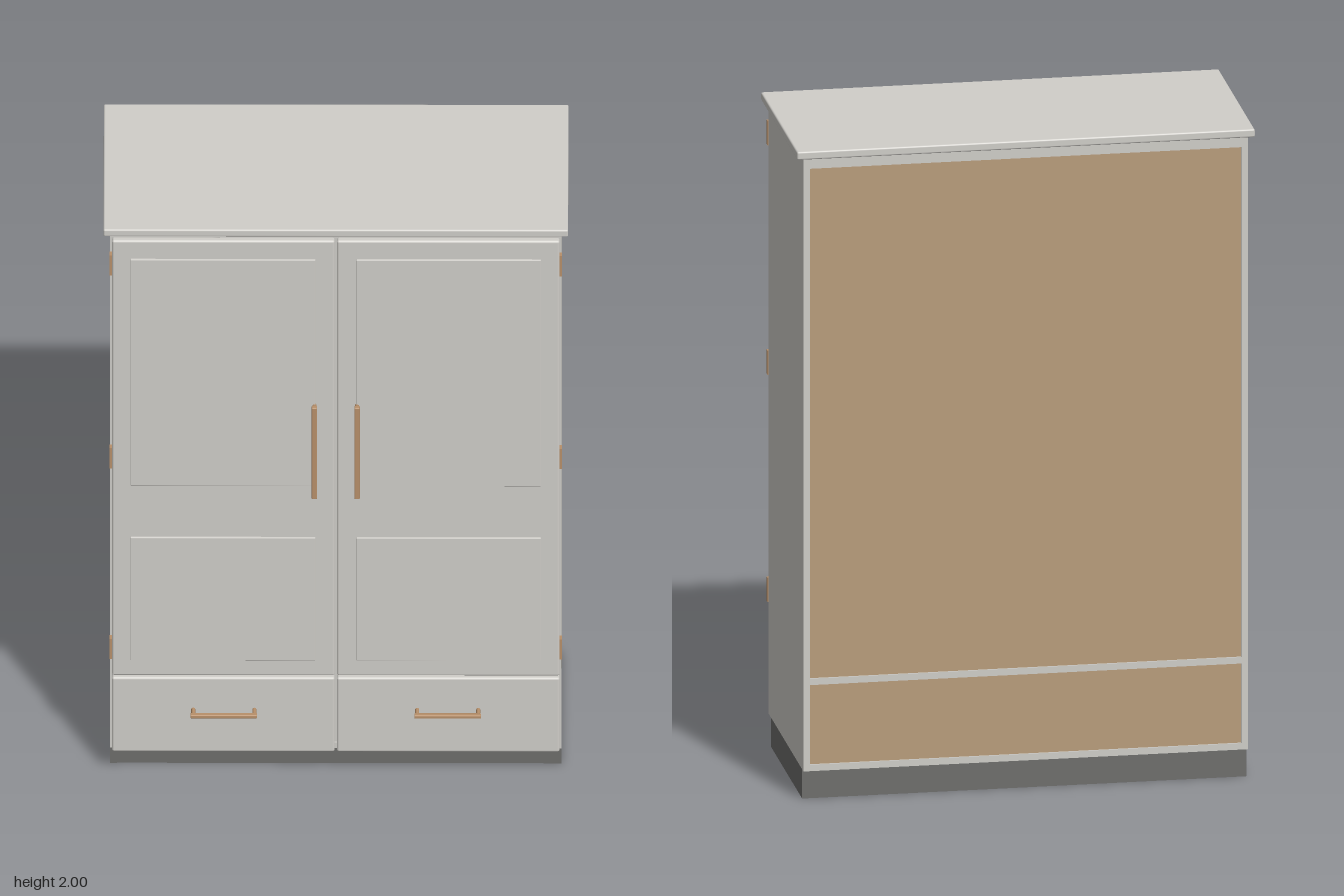
import * as THREE from 'three';
import { RoundedBoxGeometry } from 'three/addons/geometries/RoundedBoxGeometry.js';

const material = (name, color) => {
  const m = new THREE.MeshStandardMaterial({ color });
  m.name = name;
  return m;
};

export function createModel() {
  const paint = material('warm grey paint', 0xd0cec9);
  const dark = material('dark plinth grey', 0x6e6e6c);
  const wood = material('plain wood', 0xb99d7b);
  const brass = material('brushed brass', 0xb8906a);

  const cabinet = new THREE.Group();
  cabinet.name = 'cabinet';

  const add = (name, geometry, mat, parent = cabinet) => {
    const mesh = new THREE.Mesh(geometry, mat);
    mesh.name = name;
    parent.add(mesh);
    return mesh;
  };
  // Box given by its limits on each axis; a radius softens the edges
  const box = (name, [x0, x1], [y0, y1], [z0, z1], mat, radius = 0, parent = cabinet) => {
    const size = [x1 - x0, y1 - y0, z1 - z0];
    const geometry = radius
      ? new RoundedBoxGeometry(...size, 2, radius)
      : new THREE.BoxGeometry(...size);
    const mesh = add(name, geometry, mat, parent);
    mesh.position.set((x0 + x1) / 2, (y0 + y1) / 2, (z0 + z1) / 2);
    return mesh;
  };

  // Carcass boards
  const inner = [-0.645, 0.645];
  box('topBoard', [-0.665, 0.665], [1.945, 1.975], [-0.335, 0.27], paint);
  box('bottomBoard', inner, [0.09, 0.11], [-0.335, 0.27], paint);
  box('middleShelf', inner, [0.355, 0.375], [-0.335, 0.265], paint);
  box('centreDivider', [-0.01, 0.01], [0.11, 1.945], [-0.32, 0.265], paint);
  box('lowerBackPanel', inner, [0.11, 0.355], [-0.33, -0.32], wood);
  box('upperBackPanel', inner, [0.375, 1.945], [-0.33, -0.32], wood);
  box('topSlab', [-0.685, 0.685], [1.975, 2], [-0.342, 0.283], paint, 0.005);

  // Open plinth frame
  box('plinthFront', inner, [0, 0.09], [0.203, 0.223], dark);
  box('plinthBack', inner, [0, 0.09], [-0.312, -0.292], dark);

  // Bar handle with two standoffs, centred on its own origin
  const handle = (name, length, spacing, width) => {
    const group = new THREE.Group();
    group.name = name;
    const h = width / 2;
    box('bar', [-h, h], [-length / 2, length / 2], [0.326, 0.341], brass, 0.003, group);
    for (const s of [-1, 1]) {
      const y = s * spacing / 2;
      const post = add('standoff', new THREE.CylinderGeometry(0.006, 0.006, 0.04, 12), brass, group);
      post.rotation.x = Math.PI / 2;
      post.position.set(0, y, 0.31);
    }
    cabinet.add(group);
    return group;
  };

  for (const s of [-1, 1]) {
    const side = s > 0 ? 'left' : 'right';
    const span = (a, b) => (s > 0 ? [a, b] : [-b, -a]);

    box(side + 'SidePanel', span(0.645, 0.665), [0.09, 1.945], [-0.335, 0.27], paint);
    box(side + 'PlinthSide', span(0.645, 0.665), [0, 0.09], [-0.312, 0.225], dark);

    // Doors with raised panels, drawers below
    box(side + 'Door', span(0.003, 0.66), [0.374, 1.97], [0.273, 0.297], paint, 0.007);
    box(side + 'UpperDoorPanel', span(0.06, 0.605), [1.075, 1.905], [0.29, 0.303], paint, 0.002);
    box(side + 'LowerDoorPanel', span(0.06, 0.605), [0.435, 0.885], [0.29, 0.303], paint, 0.002);
    box(side + 'DrawerFront', span(0.003, 0.66), [0.096, 0.368], [0.273, 0.299], paint, 0.007);

    // Hinges on the outer door edge
    for (const y of [0.468, 1.168, 1.875]) {
      box(side + 'Hinge', span(0.652, 0.667), [y - 0.037, y + 0.037], [0.272, 0.291], brass);
    }

    handle(side + 'DoorHandle', 0.335, 0.295, 0.016).position.set(s * 0.063, 1.222, 0);
    const pull = handle(side + 'DrawerHandle', 0.197, 0.18, 0.012);
    pull.rotation.z = Math.PI / 2;
    pull.position.set(s * 0.33, 0.253, -0.003);
  }
  return cabinet;
}
